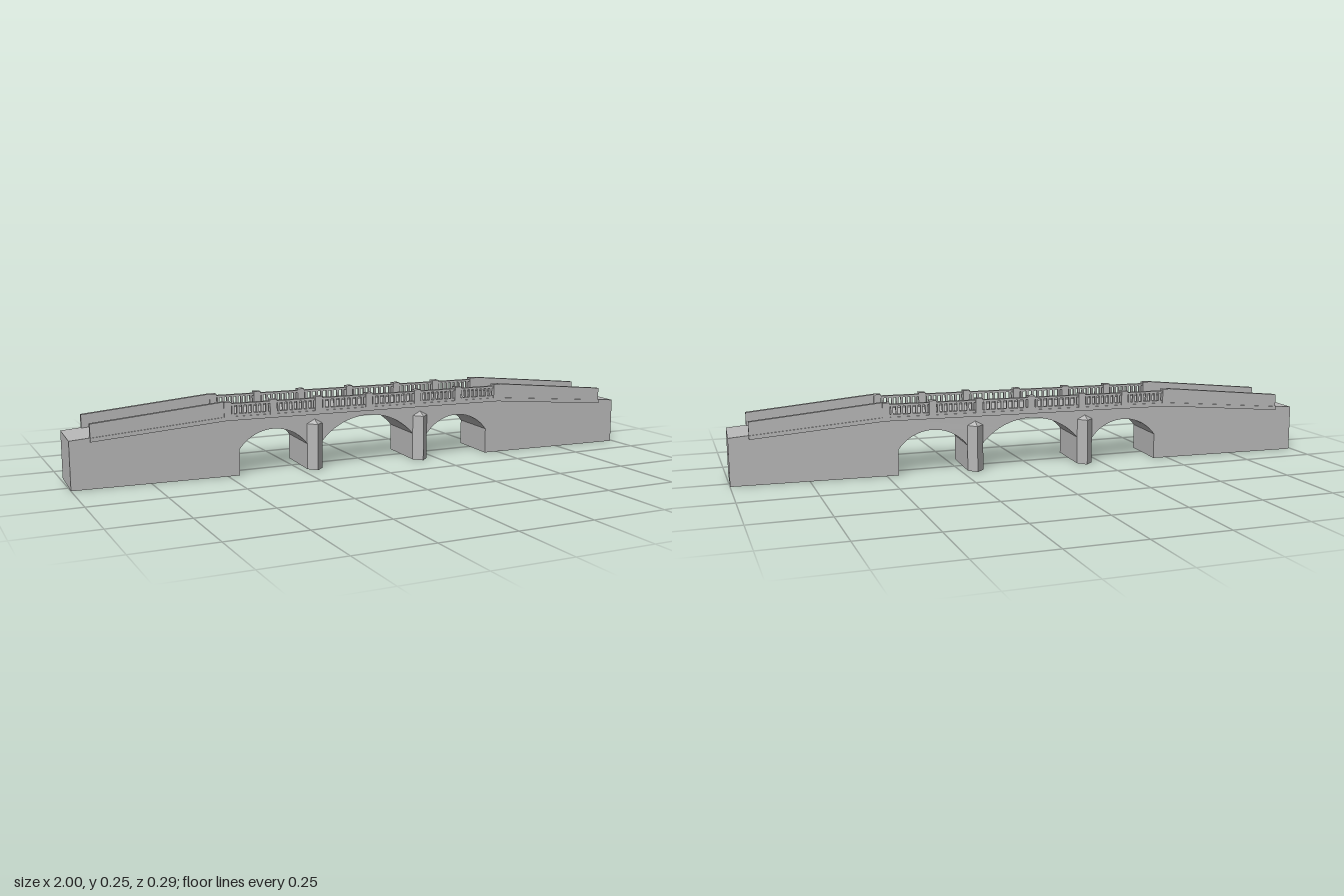
import * as THREE from 'three';
import { toCreasedNormals } from 'three/addons/utils/BufferGeometryUtils.js';

const L = 0.9965, W = 0.0925, FLAT = 0.5, TOP = 0.198, END = 0.157;

// Height of the roadway along the bridge
const deckY = x => Math.abs(x) <= FLAT ? TOP : TOP - (TOP - END) * (Math.abs(x) - FLAT) / (L - FLAT);

// Points of a segmental arch from x0 to x1, standing on vertical jambs
function arch(x0, x1, spring, crown, n = 20) {
  const half = (x1 - x0) / 2, rise = crown - spring, mid = (x0 + x1) / 2;
  const r = (half * half + rise * rise) / (2 * rise), a = Math.asin(half / r);
  const pts = [[x0, 0]];
  for (let i = 0; i <= n; i++) {
    const t = -a + 2 * a * i / n;
    pts.push([mid + r * Math.sin(t), crown - r + r * Math.cos(t)]);
  }
  pts.push([x1, 0]);
  return pts;
}

// Strip of faces across the bridge along a closed profile, left open at the ground
function ribbon(pts, z0, z1) {
  const pos = [];
  pts.forEach(([ax, ay], i) => {
    const [bx, by] = pts[(i + 1) % pts.length];
    if (ay === 0 && by === 0) return;
    pos.push(ax, ay, z1, ax, ay, z0, bx, by, z0, ax, ay, z1, bx, by, z0, bx, by, z1);
  });
  const g = new THREE.BufferGeometry();
  g.setAttribute('position', new THREE.Float32BufferAttribute(pos, 3));
  g.computeVertexNormals();
  return toCreasedNormals(g, 0.5);
}

const toShape = pts => new THREE.Shape(pts.map(p => new THREE.Vector2(p[0], p[1])));

export function createModel() {
  const model = new THREE.Group();
  model.name = 'archBridge';
  const bridge = new THREE.Group();
  bridge.name = 'bridge';
  bridge.rotation.y = -0.0498;
  model.add(bridge);
  const stone = new THREE.MeshStandardMaterial({ color: 0xb8b8b8, side: THREE.DoubleSide });
  stone.name = 'stone';

  const add = (name, geo, x = 0, y = 0, z = 0, parent = bridge) => {
    const m = new THREE.Mesh(geo, stone);
    m.name = name;
    m.position.set(x, y, z);
    parent.add(m);
    return m;
  };
  const slab = (name, pts, z0, z1, parent) =>
    add(name, new THREE.ExtrudeGeometry(toShape(pts), { depth: z1 - z0, bevelEnabled: false }), 0, 0, z0, parent);

  // Hollow body with three arches
  const outline = [
    [-L, 0],
    ...arch(-0.456, -0.222, 0.087, 0.147),
    ...arch(-0.168, 0.168, 0.092, 0.17),
    ...arch(0.222, 0.456, 0.087, 0.147),
    [L, 0], [L, END], [FLAT, TOP], [-FLAT, TOP], [-L, END],
  ];
  add('bodyShell', ribbon(outline, -W, W));
  const face = new THREE.ShapeGeometry(toShape(outline));
  add('frontWall', face, 0, 0, W);
  add('backWall', face, 0, 0, -W).rotation.y = Math.PI;

  // Pointed cutwater with a sloping cap, open at the ground
  const h = 0.027, tip = 0.03;
  const A = [-h, 0, 0], B = [0, 0, tip], C = [h, 0, 0];
  const a = [-h, 0.155, 0], b = [0, 0.155, tip], c = [h, 0.155, 0], ridge = [0, 0.169, 0];
  const cutwater = new THREE.BufferGeometry();
  cutwater.setAttribute('position', new THREE.Float32BufferAttribute(
    [A, B, b, A, b, a, B, C, c, B, c, b, a, b, ridge, b, c, ridge].flat(), 3));
  cutwater.computeVertexNormals();

  const postX = [-0.495, -0.34, -0.182, 0, 0.182, 0.34, 0.495];
  const post = new THREE.BoxGeometry(0.024, 0.049, 0.024);
  const baluster = new THREE.BoxGeometry(0.008, 0.03, 0.009);

  // Each side is built facing +z, then turned for the back
  for (const [label, turn] of [['front', 0], ['back', Math.PI]]) {
    const side = new THREE.Group();
    side.name = label + 'Side';
    side.rotation.y = turn;
    bridge.add(side);

    for (const x of [-0.195, 0.195]) add('cutwater', cutwater, x, 0, W, side);

    // Cornice following the roadway
    const E = 0.932, d = deckY(E);
    slab('cornice', [[-E, d - 0.013], [-FLAT, TOP - 0.013], [FLAT, TOP - 0.013], [E, d - 0.013],
      [E, d], [FLAT, TOP], [-FLAT, TOP], [-E, d]], W - 0.002, 0.099, side);

    // Solid sloping parapets
    for (const s of [-1, 1]) {
      slab('parapet', [[s * E, d - 0.004], [s * 0.505, TOP - 0.002], [s * 0.505, 0.247], [s * E, 0.206]],
        0.08, 0.0955, side);
    }

    // Balustrade: plinth, rail, posts and balusters
    add('plinth', new THREE.BoxGeometry(1, 0.009, 0.016), 0, 0.2015, 0.088, side);
    add('handrail', new THREE.BoxGeometry(1, 0.007, 0.016), 0, 0.2365, 0.088, side);
    postX.forEach((x, i) => {
      add('post', post, x, 0.2215, 0.088, side);
      if (i === postX.length - 1) return;
      const x0 = x + 0.012, x1 = postX[i + 1] - 0.012, n = 8;
      for (let k = 0; k < n; k++) {
        add('baluster', baluster, x0 + (x1 - x0) * (k + 0.5) / n, 0.219, 0.088, side);
      }
    });
  }
  return model;
}
